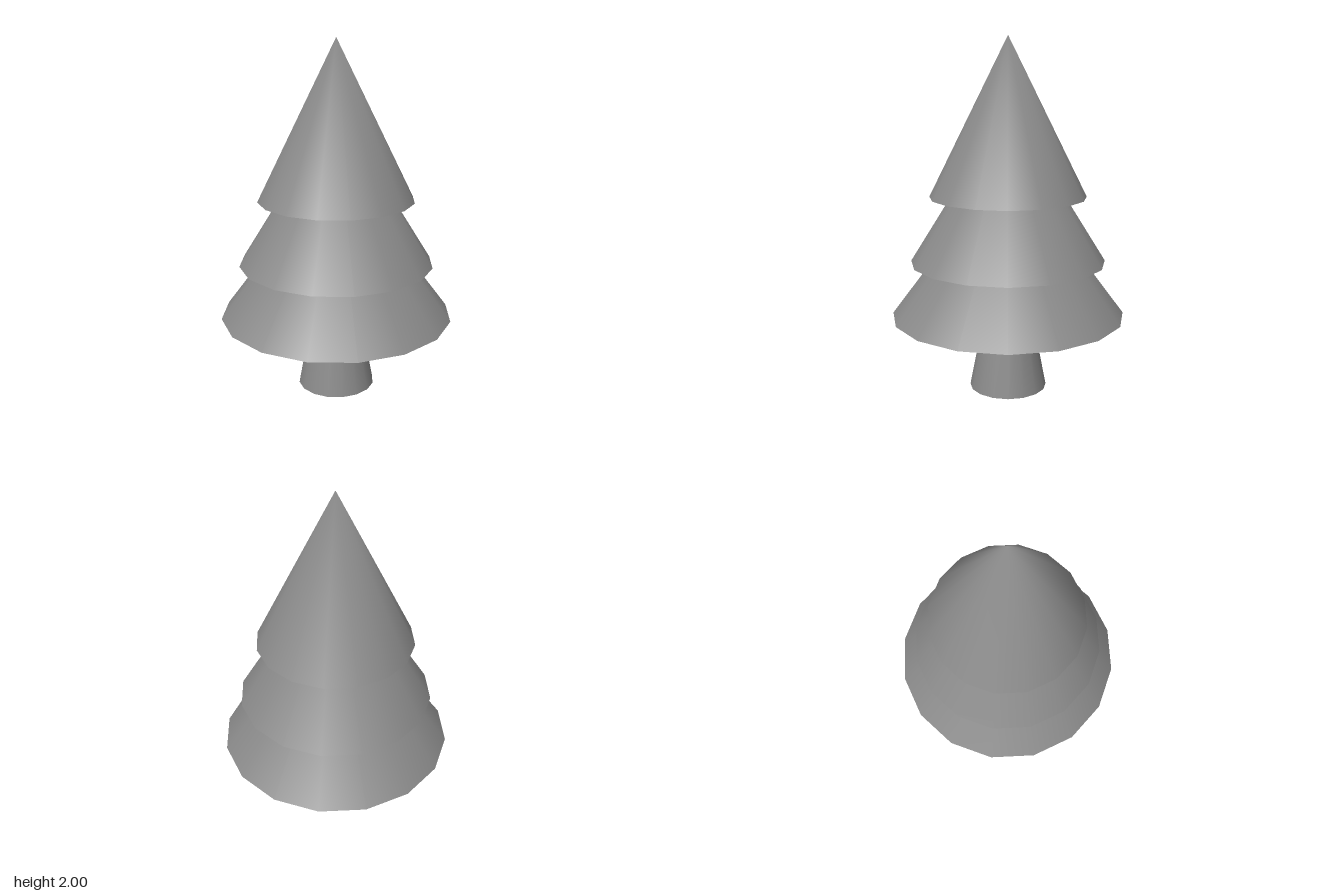
import * as THREE from 'three';

const SIDES = 16;

// Cone whose tip shares one upward normal, so the shading rounds over smoothly
function softCone(radius, height) {
  const geometry = new THREE.ConeGeometry(radius, height, SIDES);
  const normals = geometry.attributes.normal;
  for (let i = 0; i <= SIDES; i++) normals.setXYZ(i, 0, 1, 0);
  return geometry;
}

export function createModel() {
  const tree = new THREE.Group();
  tree.name = 'pineTree';
  const material = new THREE.MeshStandardMaterial({ color: 0x8a8a8a });

  const add = (name, geometry, y) => {
    const mesh = new THREE.Mesh(geometry, material);
    mesh.name = name;
    mesh.position.y = y;
    tree.add(mesh);
  };

  // Tapered trunk, closed at the foot
  const trunkHeight = 0.437;
  add('trunk', new THREE.CylinderGeometry(0.136, 0.221, trunkHeight, SIDES), trunkHeight / 2);

  // Three overlapping cones of equal height, narrower towards the top
  const height = 0.884;
  const tiers = [
    ['lowerFoliage', 0.663, 0.437],
    ['middleFoliage', 0.552, 0.747],
    ['upperFoliage', 0.442, 1.116],
  ];
  for (const [name, radius, base] of tiers) {
    add(name, softCone(radius, height), base + height / 2);
  }
  return tree;
}
